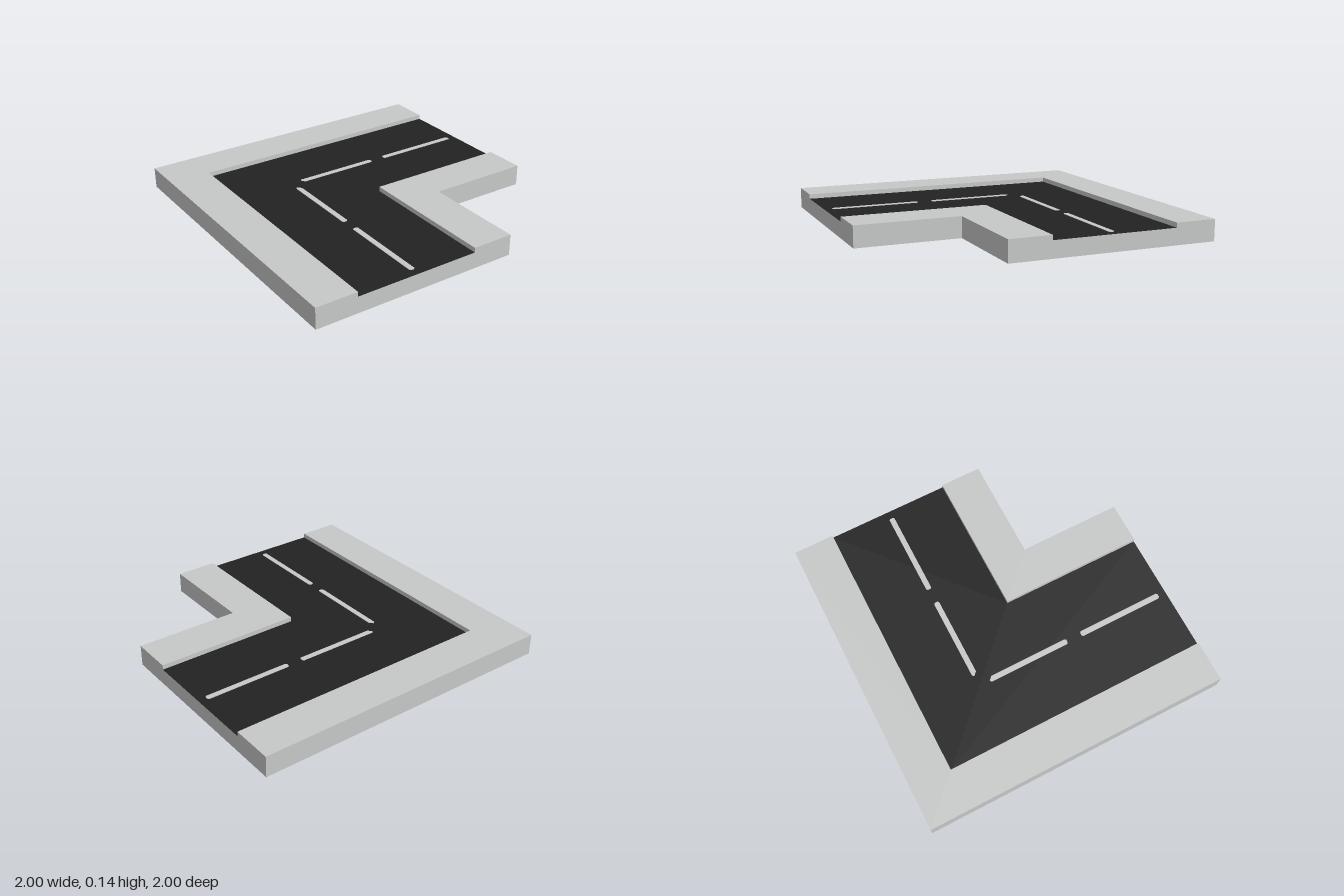
import * as THREE from 'three';

const HEIGHT = 0.135, ROAD_Y = 0.105;

// Cross-section: distance from the outer edge, height
const PROFILE = [
  [0, 0], [0, HEIGHT], [0.265, HEIGHT], [0.265, ROAD_Y],
  [1.065, ROAD_Y], [1.065, HEIGHT], [1.333, HEIGHT], [1.333, 0],
];
const ROAD_SEGMENT = 3;

// The three stations of the right-angle bend: front end, mitred corner, side end
const STATIONS = [
  ([d, y]) => [-1 + d, y, 1],
  ([d, y]) => [-1 + d, y, -1 + d],
  ([d, y]) => [1, y, -1 + d],
];

// Sweep the chosen profile segments round the bend
function sweep(segments) {
  const positions = [];
  for (const i of segments) {
    const p = PROFILE[i], q = PROFILE[(i + 1) % PROFILE.length];
    for (let s = 0; s < 2; s++) {
      const a = STATIONS[s](p), b = STATIONS[s](q);
      const a2 = STATIONS[s + 1](p), b2 = STATIONS[s + 1](q);
      positions.push(...a, ...b, ...a2, ...b, ...b2, ...a2);
    }
  }
  const geometry = new THREE.BufferGeometry();
  geometry.setAttribute('position', new THREE.Float32BufferAttribute(positions, 3));
  geometry.computeVertexNormals();
  return geometry;
}

function endCap(sign) {
  return new THREE.ShapeGeometry(
    new THREE.Shape(PROFILE.map(([d, y]) => new THREE.Vector2(sign * d, y))));
}

// Lane dash with clipped corners; the inner corner cut is larger at the bend
function dash(v0, v1, cut, swap) {
  const u0 = -0.354, u1 = -0.319, c = 0.008;
  const outline = [
    [u0 + c, v0], [u1 - cut, v0], [u1, v0 + cut], [u1, v1 - c],
    [u1 - c, v1], [u0 + c, v1], [u0, v1 - c], [u0, v0 + c],
  ].map(([u, v]) => (swap ? new THREE.Vector2(v, -u) : new THREE.Vector2(u, -v)));
  const geometry = new THREE.ExtrudeGeometry(new THREE.Shape(outline), { depth: 0.003, bevelEnabled: false });
  return geometry.rotateX(-Math.PI / 2).translate(0, ROAD_Y, 0);
}

export function createModel() {
  const model = new THREE.Group();
  model.name = 'roadCorner';
  const concrete = new THREE.MeshStandardMaterial({ color: 0xc7c9c8 });
  concrete.name = 'concrete';
  const asphalt = new THREE.MeshStandardMaterial({ color: 0x222222 });
  asphalt.name = 'asphalt';

  const add = (name, geometry, material) => {
    const mesh = new THREE.Mesh(geometry, material);
    mesh.name = name;
    model.add(mesh);
  };

  // Pavements, kerbs, outer walls and underside
  const others = PROFILE.map((_, i) => i).filter((i) => i !== ROAD_SEGMENT);
  add('pavement', sweep(others), concrete);
  add('frontEnd', endCap(1).translate(-1, 0, 1), concrete);
  add('leftEnd', endCap(-1).rotateY(Math.PI / 2).translate(1, 0, -1), concrete);

  // Sunken roadway
  add('roadway', sweep([ROAD_SEGMENT]), asphalt);

  // Dashed centre line on both arms
  for (const swap of [false, true]) {
    const arm = swap ? 'side' : 'front';
    add(arm + 'DashNear', dash(-0.27, 0.28, 0.022, swap), concrete);
    add(arm + 'DashFar', dash(0.38, 0.948, 0.008, swap), concrete);
  }
  return model;
}
